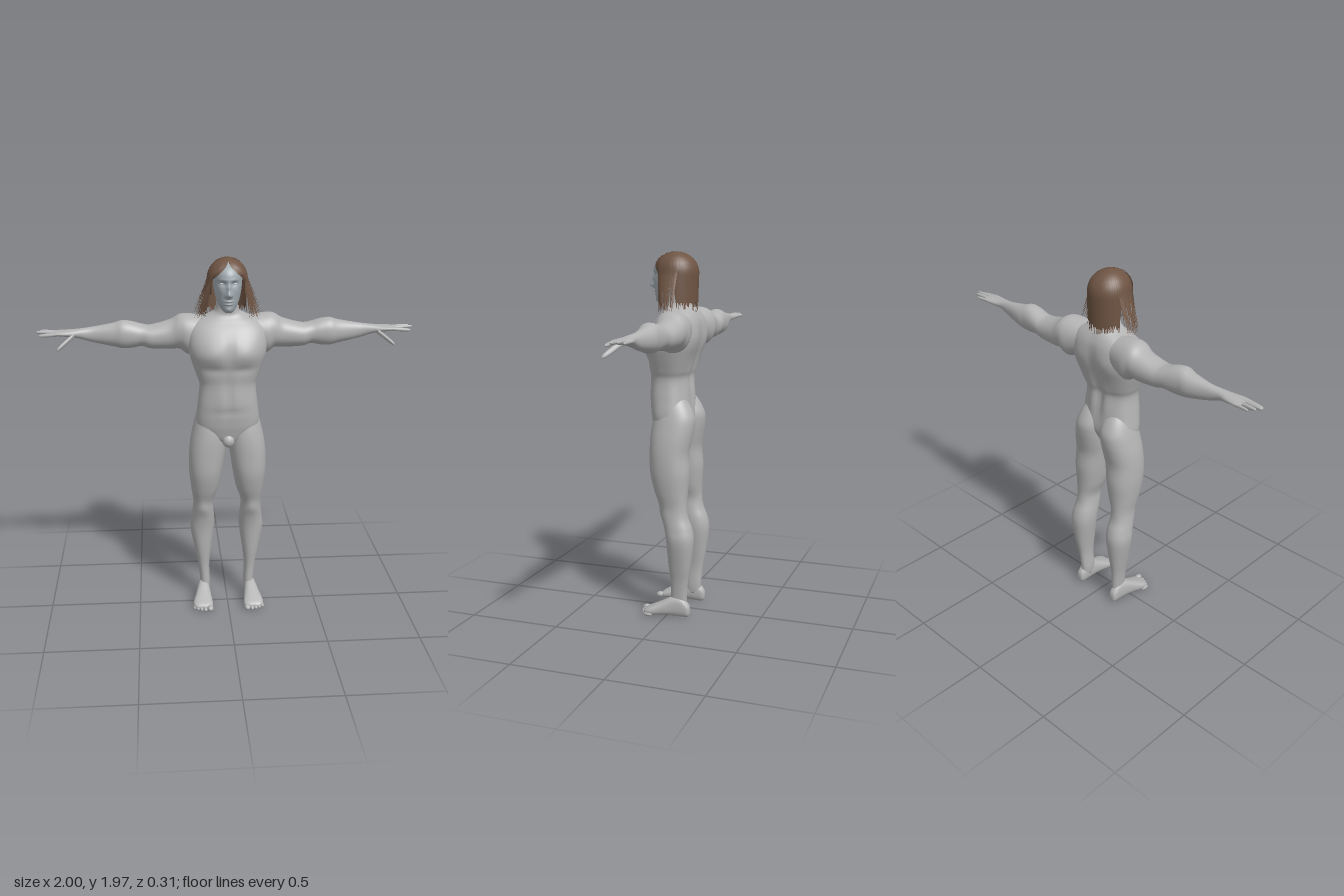
import * as THREE from 'three';

const mat = (name, color, side = THREE.FrontSide) => {
  const m = new THREE.MeshStandardMaterial({ color, side });
  m.name = name;
  return m;
};

// Axis order per loft: [along, a, b]; rows are [t, aMin, aMax, bMin, bMax]
const AXES = { y: [1, 0, 2], x: [0, 2, 1], z: [2, 1, 0].map((v, i) => [2, 1, 0][i]) };

// Smooth loft through elliptical cross-sections, with optional surface bumps
// bump: [x, y, radiusX, radiusY, amount, side], mirrored in x and pushed along z
function loft(axis, rows, { sides = 40, sub = 5, power = 2, bumps = [] } = {}) {
  const [ti, ai, bi] = AXES[axis];
  const rings = [];
  const at = i => rows[Math.min(rows.length - 1, Math.max(0, i))];
  for (let i = 0; i < rows.length - 1; i++) {
    for (let k = 0; k < sub; k++) {
      const u = k / sub, p = [at(i - 1), at(i), at(i + 1), at(i + 2)];
      rings.push(rows[0].map((_, c) => 0.5 * (2 * p[1][c] + (p[2][c] - p[0][c]) * u
        + (2 * p[0][c] - 5 * p[1][c] + 4 * p[2][c] - p[3][c]) * u * u
        + (3 * p[1][c] - p[0][c] - 3 * p[2][c] + p[3][c]) * u * u * u)));
    }
  }
  rings.push(rows[rows.length - 1]);
  const flat = r => [r[0], (r[1] + r[2]) / 2, (r[1] + r[2]) / 2, (r[3] + r[4]) / 2, (r[3] + r[4]) / 2];
  rings.unshift(flat(rings[0]));
  rings.push(flat(rings[rings.length - 1]));
  const pos = [], index = [];
  const round = v => Math.sign(v) * Math.pow(Math.abs(v), 2 / power);
  rings.forEach(([t, a0, a1, b0, b1], r) => {
    for (let j = 0; j < sides; j++) {
      const th = (j / sides) * Math.PI * 2, s = Math.sin(th), p = [0, 0, 0];
      p[ti] = t;
      p[ai] = (a0 + a1) / 2 + (a1 - a0) / 2 * round(Math.cos(th));
      p[bi] = (b0 + b1) / 2 + (b1 - b0) / 2 * round(s);
      for (const [x, y, rx, ry, amt, side] of bumps) {
        const dx = (Math.abs(p[0]) - x) / rx, dy = (p[1] - y) / ry;
        p[2] += side * amt * Math.max(0, side * s) * Math.exp(-dx * dx - dy * dy);
      }
      pos.push(...p);
      if (r < rings.length - 1) {
        const n = (j + 1) % sides, q = r * sides;
        index.push(q + j, q + sides + j, q + n, q + n, q + sides + j, q + sides + n);
      }
    }
  });
  return finish(pos, index);
}

function finish(pos, index) {
  const g = new THREE.BufferGeometry();
  g.setAttribute('position', new THREE.Float32BufferAttribute(pos, 3));
  g.setIndex(index);
  g.computeVertexNormals();
  return g;
}

function mirrored(geo) {
  const g = geo.clone(), idx = Array.from(g.index.array);
  for (const key of ['position', 'normal']) {
    const a = g.attributes[key];
    for (let i = 0; i < a.count; i++) a.setX(i, -a.getX(i));
  }
  for (let i = 0; i < idx.length; i += 3) [idx[i], idx[i + 1]] = [idx[i + 1], idx[i]];
  g.setIndex(idx);
  return g;
}

// Tapered finger from base to tip, running along x
function digit([x0, y0, z0], [x1, y1, z1], r) {
  const rows = [[0, 1], [0.3, 0.92], [0.6, 0.9], [0.85, 0.75], [0.96, 0.5], [1, 0.15]].map(([u, s]) => {
    const x = x0 + (x1 - x0) * u, y = y0 + (y1 - y0) * u, z = z0 + (z1 - z0) * u;
    return [x, z - r * s, z + r * s, y - r * s, y + r * s];
  });
  return loft('x', rows, { sides: 12, sub: 2 });
}

const ball = (x, y, z, rx, ry, rz) => new THREE.SphereGeometry(1, 18, 12).scale(rx, ry, rz).translate(x, y, z);

// Point on the hair surface: phi in degrees from the front, v from crown to tip
function hairPoint(phi0, v, side, flare, endY, grow) {
  const t = Math.min(1, v / 0.45), s = Math.max(0, (v - 0.45) / 0.55);
  const phi = THREE.MathUtils.degToRad(phi0 < 58 ? phi0 + (58 - phi0) * Math.pow(t, 2.5) : phi0);
  const al = (1 - t) * Math.PI / 2, c = Math.cos(al);
  const front = Math.cos(phi) > 0 ? 0.4 : 0.05;
  return [
    side * 0.104 * grow * c * Math.sin(phi) * (1 + flare * s),
    1.86 + 0.107 * grow * Math.sin(al) + (endY - 1.86) * s,
    -0.003 + 0.122 * grow * c * Math.cos(phi) * (1 - front * s),
  ];
}

export function createModel() {
  const model = new THREE.Group();
  model.name = 'figure';
  const skin = mat('grey skin', 0xb3b3b3);
  const faceSkin = mat('cool grey face', 0xa3adb2);
  const eyeWhite = mat('pale eye', 0xd2d6d8);
  const hairMat = mat('brown hair', 0x6e5443, THREE.DoubleSide);
  const add = (name, geo, m = skin) => {
    const mesh = new THREE.Mesh(geo, m);
    mesh.name = name;
    model.add(mesh);
  };
  const pair = (name, geo, m) => {
    add('left ' + name, geo, m);
    add('right ' + name, mirrored(geo), m);
  };
  const sym = rows => rows.map(([y, hw, zb, zf]) => [y, -hw, hw, zb, zf]);

  // Torso and neck, with chest, belly, shoulder blades and spine groove
  add('torso', loft('y', sym([
    [0.975, 0.04, -0.03, 0.06], [1, 0.09, -0.06, 0.085], [1.05, 0.15, -0.09, 0.1], [1.1, 0.17, -0.105, 0.11],
    [1.2, 0.16, -0.095, 0.12], [1.3, 0.15, -0.085, 0.117], [1.35, 0.164, -0.1, 0.122], [1.42, 0.188, -0.122, 0.135],
    [1.48, 0.205, -0.14, 0.142], [1.54, 0.208, -0.148, 0.132], [1.6, 0.2, -0.145, 0.098], [1.64, 0.165, -0.13, 0.065],
    [1.67, 0.1, -0.11, 0.042], [1.7, 0.062, -0.085, 0.04], [1.78, 0.055, -0.08, 0.045],
  ]), {
    sides: 72, sub: 6, power: 2.5, bumps: [
      [0.09, 1.48, 0.075, 0.05, 0.014, 1], [0, 1.5, 0.014, 0.07, -0.008, 1], [0.08, 1.4, 0.08, 0.022, -0.008, 1],
      [0.04, 1.25, 0.035, 0.1, 0.006, 1], [0, 1.25, 0.01, 0.12, -0.004, 1], [0, 1.165, 0.1, 0.015, -0.005, 1],
      [0, 1.38, 0.022, 0.2, -0.016, -1], [0.1, 1.52, 0.055, 0.07, 0.01, -1], [0.05, 1.28, 0.03, 0.09, 0.008, -1],
    ],
  }));
  add('groin', ball(0, 1.0, 0.082, 0.033, 0.036, 0.03));

  // Legs, including buttocks
  pair('leg', loft('y', [
    [0.05, 0.102, 0.155, -0.105, -0.02], [0.1, 0.097, 0.153, -0.11, -0.02], [0.2, 0.1, 0.163, -0.118, -0.02],
    [0.3, 0.09, 0.182, -0.135, -0.01], [0.43, 0.072, 0.205, -0.15, 0], [0.5, 0.07, 0.2, -0.14, 0.012],
    [0.56, 0.075, 0.192, -0.118, 0.028], [0.62, 0.076, 0.189, -0.11, 0.04], [0.7, 0.05, 0.2, -0.112, 0.07],
    [0.8, 0.03, 0.21, -0.118, 0.095], [0.9, 0.015, 0.21, -0.112, 0.1], [0.98, 0.004, 0.202, -0.125, 0.1],
    [1.04, 0, 0.19, -0.135, 0.095], [1.1, 0, 0.175, -0.136, 0.085], [1.16, 0.01, 0.155, -0.11, 0.07],
    [1.21, 0.03, 0.13, -0.075, 0.05],
  ], { power: 2.2, bumps: [[0.135, 0.585, 0.03, 0.035, 0.008, 1]] }));

  // Feet and toes
  pair('foot', loft('z', [
    [-0.13, 0.02, 0.05, 0.122, 0.144], [-0.12, 0.003, 0.075, 0.109, 0.156], [-0.08, 0, 0.11, 0.103, 0.162],
    [-0.03, 0.002, 0.108, 0.1, 0.17], [0.03, 0.002, 0.078, 0.094, 0.185], [0.08, 0, 0.053, 0.088, 0.198],
    [0.11, 0.002, 0.038, 0.09, 0.192], [0.125, 0.008, 0.026, 0.1, 0.17],
  ], { sides: 28, power: 2.5 }));
  [[0.105, 0.128, 0.017], [0.132, 0.124, 0.012], [0.153, 0.117, 0.011], [0.173, 0.107, 0.011], [0.191, 0.094, 0.011]]
    .forEach(([x, z, r], i) => pair('toe ' + (i + 1), ball(x, r, z, r, r, 0.025)));

  // Arms running into the palms
  pair('arm', loft('x', [
    [0.1, -0.13, 0.04, 1.5, 1.655], [0.2, -0.153, 0.045, 1.455, 1.668], [0.25, -0.15, 0.03, 1.482, 1.664],
    [0.3, -0.145, 0.015, 1.48, 1.636], [0.4, -0.135, 0.01, 1.485, 1.61], [0.45, -0.13, 0, 1.497, 1.615],
    [0.5, -0.125, 0.003, 1.49, 1.63], [0.55, -0.12, 0.003, 1.488, 1.636], [0.6, -0.118, -0.01, 1.498, 1.622],
    [0.7, -0.095, -0.03, 1.52, 1.605], [0.77, -0.085, -0.025, 1.543, 1.597], [0.82, -0.095, -0.015, 1.553, 1.592],
    [0.87, -0.102, -0.008, 1.56, 1.589], [0.905, -0.1, -0.012, 1.565, 1.585],
  ], { power: 2.15 }));
  [
    [[0.87, 1.573, -0.09], [0.955, 1.575, -0.1], 0.009], [[0.88, 1.576, -0.068], [0.985, 1.581, -0.08], 0.0105],
    [[0.88, 1.577, -0.045], [1, 1.58, -0.055], 0.011], [[0.88, 1.574, -0.021], [0.985, 1.566, -0.024], 0.011],
    [[0.8, 1.567, -0.03], [0.888, 1.502, 0.035], 0.015],
  ].forEach((d, i) => pair(i < 4 ? 'finger ' + (i + 1) : 'thumb', digit(...d)));

  // Head with sculpted brow, eye sockets, nose, lips and chin
  add('head', loft('y', sym([
    [1.697, 0.018, 0.05, 0.092], [1.705, 0.03, 0.02, 0.1], [1.725, 0.045, -0.02, 0.106], [1.75, 0.057, -0.05, 0.11],
    [1.79, 0.068, -0.085, 0.114], [1.84, 0.075, -0.1, 0.115], [1.89, 0.075, -0.102, 0.115], [1.925, 0.06, -0.08, 0.09],
    [1.945, 0.035, -0.04, 0.05],
  ]), {
    sides: 96, sub: 10, bumps: [
      [0, 1.795, 0.012, 0.016, 0.028, 1], [0, 1.828, 0.01, 0.024, 0.014, 1], [0.012, 1.788, 0.008, 0.008, 0.008, 1],
      [0.03, 1.848, 0.018, 0.012, -0.012, 1], [0.028, 1.868, 0.025, 0.008, 0.005, 1], [0, 1.759, 0.022, 0.005, 0.007, 1],
      [0, 1.744, 0.02, 0.005, 0.006, 1], [0, 1.715, 0.02, 0.012, 0.006, 1], [0.045, 1.81, 0.02, 0.02, 0.004, 1],
    ],
  }), faceSkin);
  pair('eye', ball(0.03, 1.848, 0.088, 0.014, 0.006, 0.01), eyeWhite);

  // Hair base sheet, parted at the centre
  const U = 32, V = 20;
  for (const side of [1, -1]) {
    const pos = [], index = [];
    for (let u = 0; u <= U; u++) for (let v = 0; v <= V; v++) {
      const phi = u / U * 180, reach = phi > 105 ? 0.88 : 0.66;
      pos.push(...hairPoint(phi, v / V * reach, side, 0, 1.66, 0.98));
      if (u < U && v < V) {
        const a = u * (V + 1) + v, b = a + V + 1;
        if (side > 0) index.push(a, a + 1, b, b, a + 1, b + 1);
        else index.push(a, b, a + 1, b, b + 1, a + 1);
      }
    }
    add(side > 0 ? 'left hair base' : 'right hair base', finish(pos, index), hairMat);
  }

  // Loose strands: tapering ribbons, flaring out beside the face
  let seed = 7;
  const rand = () => (seed = (seed * 16807) % 2147483647) / 2147483647;
  const pos = [], index = [], N = 110, S = 16;
  for (const side of [1, -1]) for (let i = 0; i < N; i++) {
    const phi = (i + rand()) / N * 180, wing = phi < 108;
    const flare = wing ? 0.25 + 0.55 * rand() : 0.08 * rand();
    const endY = 1.655 + 0.045 * rand(), grow = 1 + 0.025 * rand(), width = wing ? 2.2 : 2.8;
    for (let k = 0; k <= S; k++) {
      const v = k / S, w = width * (v < 0.6 ? 1 : 1 - 0.85 * (v - 0.6) / 0.4);
      const p = hairPoint(phi, v, side, flare, endY, grow);
      const along = THREE.MathUtils.degToRad(Math.max(phi, 58 * v));
      const d = w * 0.0019 * Math.min(1, v * 4);
      const dx = side * Math.cos(along) * d, dz = -Math.sin(along) * d;
      pos.push(p[0] - dx, p[1], p[2] - dz, p[0] + dx, p[1], p[2] + dz);
      if (k < S) {
        const a = pos.length / 3 - 2;
        if (side > 0) index.push(a, a + 2, a + 1, a + 1, a + 2, a + 3);
        else index.push(a, a + 1, a + 2, a + 1, a + 3, a + 2);
      }
    }
  }
  add('hair strands', finish(pos, index), hairMat);
  return model;
}
